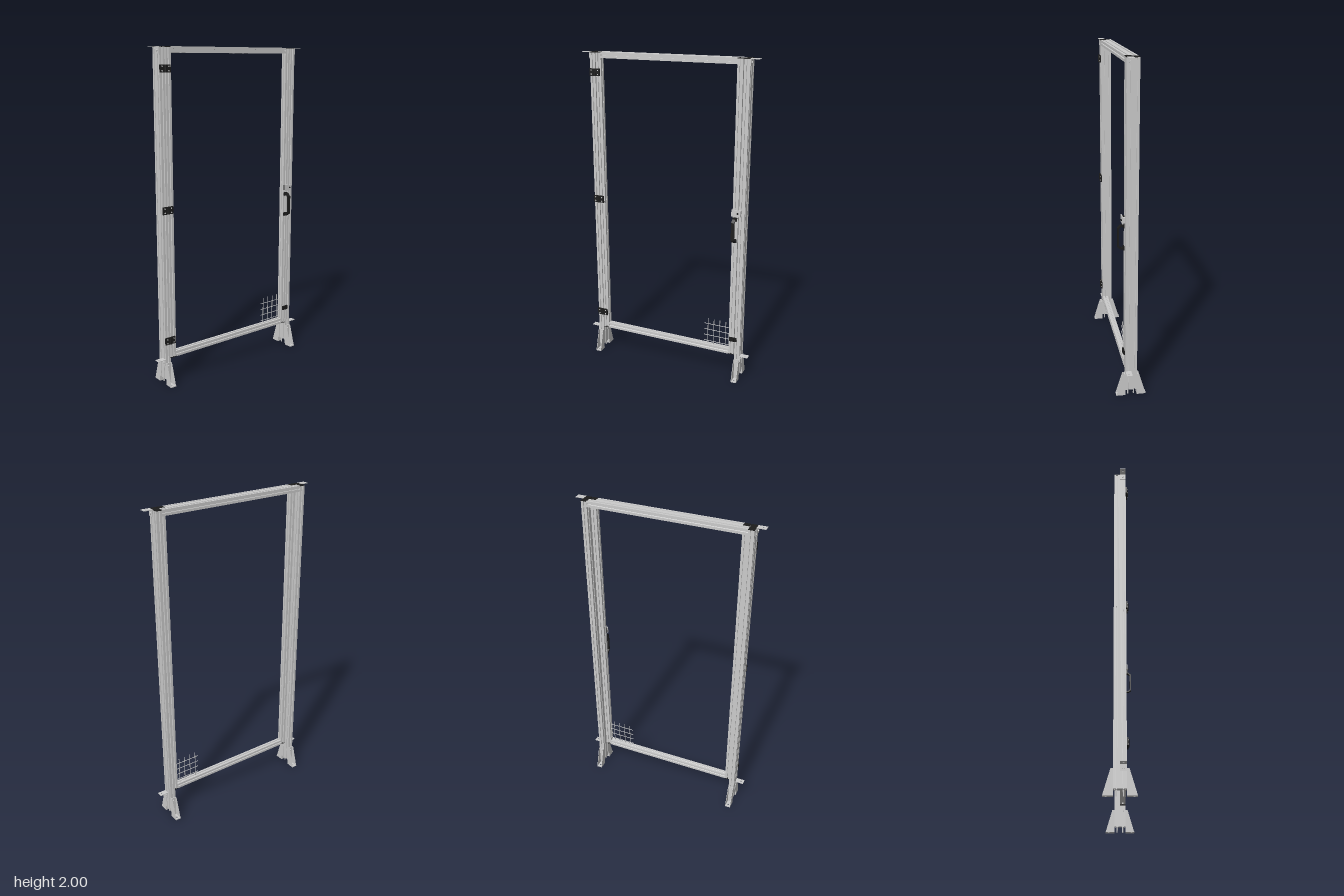
import * as THREE from 'three';

const grey = new THREE.MeshStandardMaterial({ color: 0xcccccc });
const black = new THREE.MeshStandardMaterial({ color: 0x1c1c1c });
const S = 0.035; // profile module size

function add(parent, name, geo, x = 0, y = 0, z = 0, mat = grey) {
  const m = new THREE.Mesh(geo, mat);
  m.name = name;
  m.position.set(x, y, z);
  parent.add(m);
  return m;
}
const box = (w, h, d) => new THREE.BoxGeometry(w, h, d);

// T-slot profile outline made of n square modules along x
function slotProfile(n) {
  const h = S / 2, cx = (n - 1) * h;
  const slot = [[-0.0035, 0], [-0.0035, 0.004], [-0.008, 0.004], [-0.008, 0.006], [-0.004, 0.0105],
    [0.004, 0.0105], [0.008, 0.006], [0.008, 0.004], [0.0035, 0.004], [0.0035, 0]];
  const pts = [];
  // a side runs along direction (dx, dy); slots cut to its left
  const side = (x, y, dx, dy, count) => {
    pts.push(new THREE.Vector2(x, y));
    for (let i = 0; i < count; i++) {
      const t = h + i * S;
      for (const [u, v] of slot) pts.push(new THREE.Vector2(x + dx * (t + u) - dy * v, y + dy * (t + u) + dx * v));
    }
  };
  side(-cx - h, -h, 1, 0, n);
  side(cx + h, -h, 0, 1, 1);
  side(cx + h, h, -1, 0, n);
  side(-cx - h, h, 0, -1, 1);
  const shape = new THREE.Shape(pts);
  for (let i = 0; i < n; i++) {
    const bore = new THREE.Path();
    bore.absarc(-cx + i * S, 0, 0.0028, 0, Math.PI * 2, true);
    shape.holes.push(bore);
  }
  return shape;
}
const extrude = (shape, depth, segs = 6) =>
  new THREE.ExtrudeGeometry(shape, { depth, bevelEnabled: false, curveSegments: segs });

// Upright bar from y0 to y1, and level bar centred on z = 0
const upright = (n, y0, y1) => extrude(slotProfile(n), y1 - y0).rotateX(-Math.PI / 2).translate(0, y0, 0);
const level = (len) => extrude(slotProfile(1), len).translate(0, 0, -len / 2);

// Flat plate with one hole, lying level, w along x and d along z
function holedPlate(w, d, t, hx, hz, r) {
  const s = new THREE.Shape([[-w / 2, -d / 2], [w / 2, -d / 2], [w / 2, d / 2], [-w / 2, d / 2]]
    .map(([a, b]) => new THREE.Vector2(a, b)));
  const p = new THREE.Path();
  p.absarc(hx, -hz, r, 0, Math.PI * 2, true);
  s.holes.push(p);
  return extrude(s, t, 10).rotateX(-Math.PI / 2);
}

// Gusseted floor bracket on the +x side of a post
function footBracket() {
  const g = new THREE.Group();
  g.name = 'footBracket';
  add(g, 'footPlate', holedPlate(0.055, S, 0.006, 0.009, 0, 0.006), 0.0625, 0, 0);
  add(g, 'footUpright', box(0.005, 0.14, S), 0.0375, 0.07, 0);
  const web = new THREE.Shape();
  web.moveTo(0.036, 0.001);
  web.lineTo(0.088, 0.001);
  web.lineTo(0.086, 0.012);
  web.lineTo(0.048, 0.14);
  web.lineTo(0.036, 0.14);
  const webGeo = extrude(web, 0.003);
  for (const z of [-S / 2, S / 2 - 0.003]) add(g, 'footGusset', webGeo, 0, 0, z);
  for (const y of [0.05, 0.12]) {
    add(g, 'footBolt', new THREE.CylinderGeometry(0.006, 0.006, 0.006, 12).rotateZ(Math.PI / 2), 0.042, y, 0);
  }
  return g;
}

// Angle bracket reaching outward along +z
function wallBracket() {
  const g = new THREE.Group();
  g.name = 'wallBracket';
  add(g, 'wallBracketPlate', holedPlate(S, 0.052, 0.004, 0, 0.008, 0.005), 0, -0.004, 0.026);
  add(g, 'wallBracketFlange', box(S, 0.04, 0.004), 0, -0.02, 0.002);
  add(g, 'wallBracketBolt', new THREE.CylinderGeometry(0.006, 0.006, 0.006, 12).rotateX(Math.PI / 2), 0, -0.023, 0.006);
  return g;
}

// Fixed frame: two double posts, head beam, feet and wall brackets
function fixedFrame() {
  const g = new THREE.Group();
  g.name = 'fixedFrame';
  const postGeo = upright(2, 0.035, 1.996);
  for (const s of [1, -1]) {
    const post = new THREE.Group();
    post.name = 'post';
    post.position.z = s * 0.4875;
    add(post, 'postProfile', postGeo);
    add(post, 'postCap', box(2 * S, 0.004, S), 0, 1.998, 0, black);
    for (const side of [0, Math.PI]) {
      const foot = footBracket();
      foot.rotation.y = side;
      post.add(foot);
    }
    // levelling screws under the post
    for (const x of [-S / 2, S / 2]) add(post, 'levellingScrew', new THREE.CylinderGeometry(0.004, 0.004, 0.04, 10), x, 0.02, 0);
    for (const y of [0.164, 2]) {
      const b = wallBracket();
      b.position.set(S / 2, y, s * S / 2);
      b.rotation.y = s > 0 ? 0 : Math.PI;
      post.add(b);
    }
    g.add(post);
  }
  add(g, 'headBeam', level(0.94), -S / 2, 2 - S / 2, 0);
  return g;
}

// Swinging door leaf
function doorLeaf() {
  const g = new THREE.Group();
  g.name = 'doorLeaf';
  g.position.x = S / 2;
  const stileGeo = upright(1, 0.169, 1.996);
  for (const s of [1, -1]) {
    add(g, 'doorStile', stileGeo, 0, 0, s * 0.4475);
    for (const y of [0.167, 1.998]) add(g, 'stileCap', box(S, 0.004, S), 0, y, s * 0.4475, black);
  }
  const railGeo = level(0.86);
  for (const y of [0.165 + S / 2, 2 - S / 2]) add(g, 'doorRail', railGeo, 0, y, 0);

  // sample of the wire mesh infill in the lower corner
  const wire = (len) => new THREE.CylinderGeometry(0.002, 0.002, len, 8);
  for (let i = 0; i < 4; i++) {
    add(g, 'meshWireUpright', wire(0.175), -0.002, 0.2875, -0.283 - i * 0.04);
    add(g, 'meshWireLevel', wire(0.175).rotateX(Math.PI / 2), 0.002, 0.22 + i * 0.04, -0.3475);
  }
  return g;
}

// Butt hinge joining post and stile
function hinge(y) {
  const g = new THREE.Group();
  g.name = 'hinge';
  g.position.set(S, y, 0.472);
  for (const s of [1, -1]) {
    add(g, 'hingeLeaf', box(0.008, 0.044, 0.03), 0.004, 0, s * 0.02, black);
    for (const dy of [-0.012, 0.012]) {
      add(g, 'hingeScrew', new THREE.CylinderGeometry(0.004, 0.004, 0.003, 10).rotateZ(Math.PI / 2), 0.009, dy, s * 0.022);
    }
  }
  add(g, 'hingeBarrel', new THREE.CylinderGeometry(0.006, 0.006, 0.044, 14), 0.007, 0, 0, black);
  return g;
}

// Pull handle: a bent bar with two mounting pads
function pullHandle() {
  const g = new THREE.Group();
  g.name = 'pullHandle';
  const outline = [[0, 0], [0.022, 0], [0.04, 0.014], [0.04, 0.128], [0.022, 0.145], [0, 0.145],
    [0, 0.136], [0.019, 0.136], [0.032, 0.124], [0.032, 0.018], [0.019, 0.009], [0, 0.009]];
  const shape = new THREE.Shape(outline.map(([x, y]) => new THREE.Vector2(x, y)));
  add(g, 'handleBar', extrude(shape, 0.02), 0, 0, -0.01, black);
  for (const y of [0.005, 0.14]) add(g, 'handlePad', box(0.008, 0.022, 0.028), 0.004, y, 0, black);
  g.position.set(S, 0.928, -0.446);
  return g;
}

// Latch on the closing side
function latch() {
  const g = new THREE.Group();
  g.name = 'latch';
  g.position.set(S, 1.11, -0.4555);
  add(g, 'latchPlate', box(0.006, 0.04, 0.056), 0.015, 0, 0);
  add(g, 'latchBody', box(0.012, 0.032, 0.024), 0.006, 0, 0.012, black);
  add(g, 'latchKeeper', box(0.012, 0.032, 0.02), 0.006, 0, -0.018);
  add(g, 'latchKnob', new THREE.CylinderGeometry(0.005, 0.005, 0.006, 12).rotateZ(Math.PI / 2), 0.02, 0, -0.012, black);
  return g;
}

export function createModel() {
  const model = new THREE.Group();
  model.name = 'safetyFenceDoor';
  model.add(fixedFrame(), doorLeaf(), pullHandle(), latch());
  for (const y of [0.28, 1.08, 1.88]) model.add(hinge(y));
  // lower door catch
  add(model, 'doorCatch', box(0.01, 0.026, 0.028), S + 0.005, 0.275, -0.45, black);
  add(model, 'doorCatchStop', box(0.007, 0.026, 0.018), S + 0.0035, 0.275, -0.474, black);
  return model;
}
